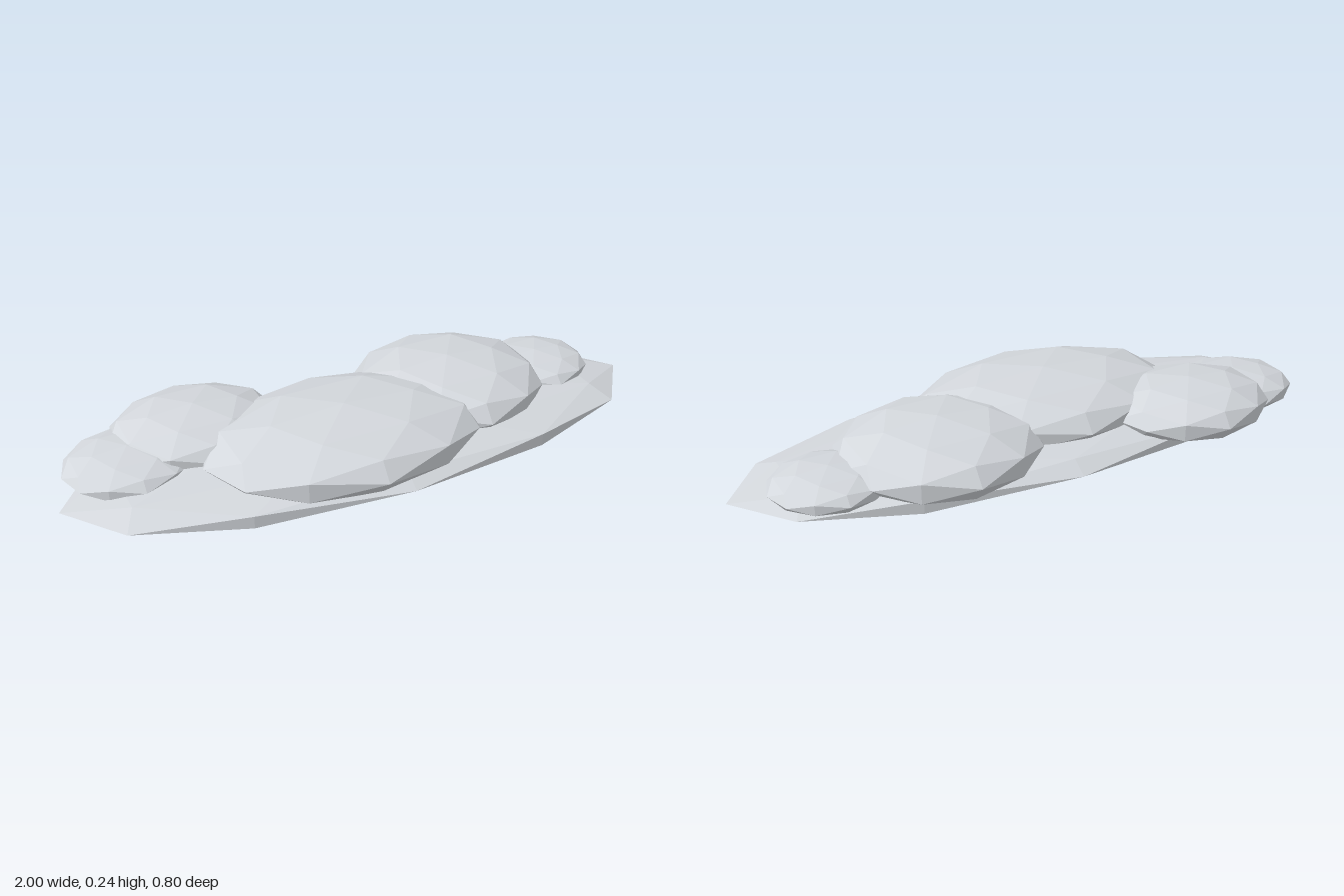
import * as THREE from 'three';

export function createModel() {
  const group = new THREE.Group();
  group.name = 'cloud';
  const cloudGrey = new THREE.MeshStandardMaterial({ color: 0xd3d7dc });
  cloudGrey.name = 'cloud grey';
  cloudGrey.flatShading = true;

  // One faceted, flattened puff
  const puff = (name, position, radii) => {
    const geometry = new THREE.IcosahedronGeometry(1, 1);
    geometry.scale(...radii);
    geometry.computeVertexNormals();
    const mesh = new THREE.Mesh(geometry, cloudGrey);
    mesh.name = name;
    mesh.position.set(...position);
    group.add(mesh);
  };

  // Wide lens-shaped underside
  puff('cloudBase', [0, 0.07, 0.015], [1, 0.068, 0.368]);
  // Billows on top
  puff('centrePuff', [-0.1, 0.135, 0.08], [0.47, 0.108, 0.318]);
  puff('leftPuff', [0.35, 0.13, -0.06], [0.335, 0.105, 0.305]);
  puff('leftTipPuff', [0.71, 0.11, -0.07], [0.19, 0.054, 0.175]);
  puff('rightPuff', [-0.51, 0.127, -0.17], [0.285, 0.09, 0.235]);
  puff('rightTipPuff', [-0.75, 0.108, -0.1], [0.21, 0.06, 0.19]);

  return group;
}
